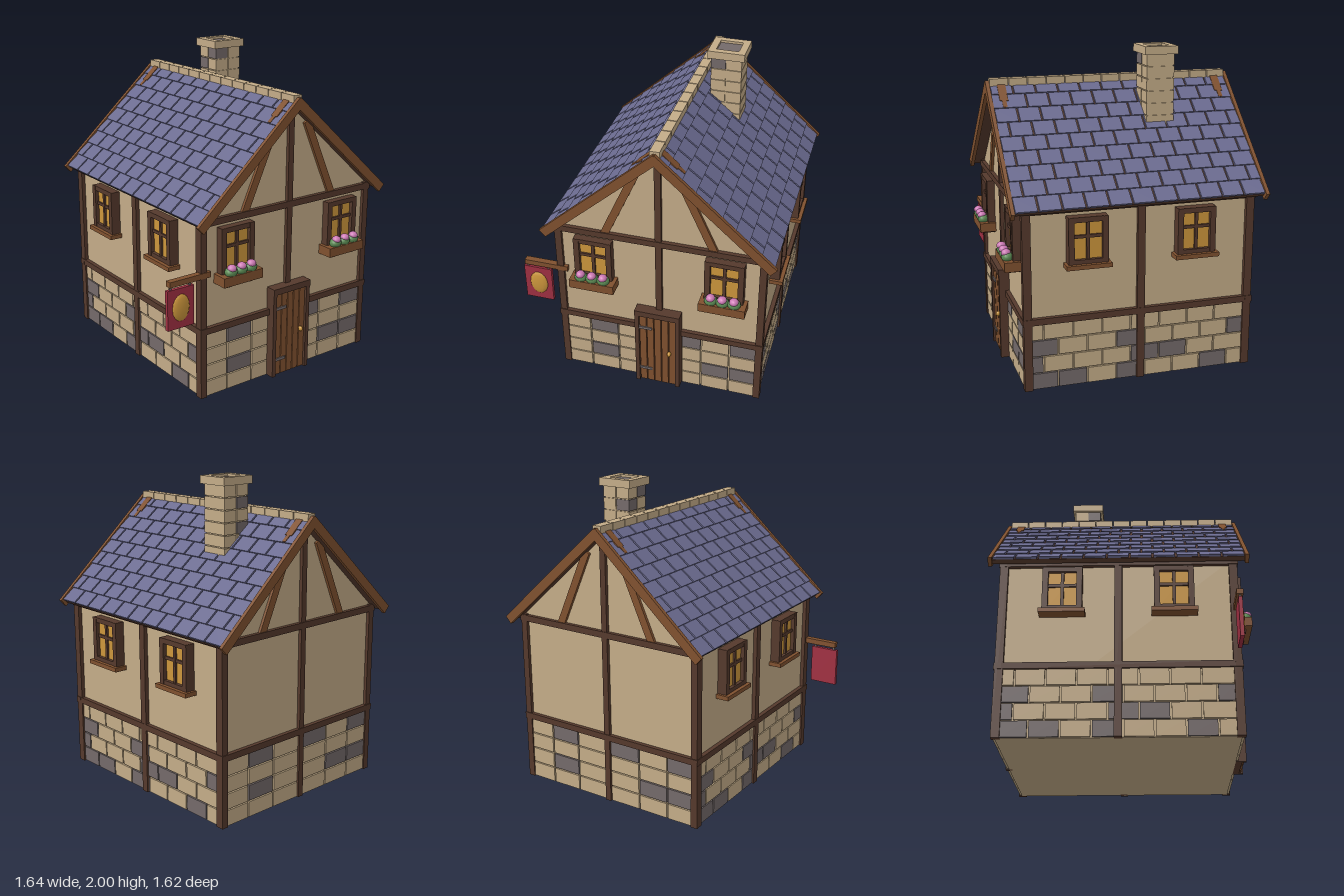
import * as THREE from 'three';

const paint = (name, color) => {
  const m = new THREE.MeshStandardMaterial({ color });
  m.name = name;
  return m;
};

export function createModel() {
  const timber = paint('dark timber', 0x55392c);
  const wood = paint('brown wood', 0x80512f);
  const plaster = paint('plaster and pale stone', 0xc4ac88);
  const slate = paint('slate blue', 0x6b6b90);
  const greyStone = paint('grey stone and iron', 0x746a6a);
  const gold = paint('gold', 0xcc963c);
  const red = paint('sign red', 0xa03042);
  const green = paint('leaf green', 0x5c8c54);
  const pink = paint('petal pink', 0xcc78b4);

  const root = new THREE.Group();
  root.name = 'cottage';
  const CX = 0.08, CZ = -0.01, HW = 0.645, HD = 0.71; // house centre, wall half sizes

  const group = (name, parent, x = 0, y = 0, z = 0, ry = 0) => {
    const g = new THREE.Group();
    g.name = name;
    g.position.set(x, y, z);
    g.rotation.y = ry;
    parent.add(g);
    return g;
  };
  const mesh = (name, geo, mat, parent, x = 0, y = 0, z = 0) => {
    const m = new THREE.Mesh(geo, mat);
    m.name = name;
    m.position.set(x, y, z);
    parent.add(m);
    return m;
  };
  // box given by its extents
  const box = (name, mat, parent, x0, x1, y0, y1, z0, z1) =>
    mesh(name, new THREE.BoxGeometry(x1 - x0, y1 - y0, z1 - z0), mat, parent,
      (x0 + x1) / 2, (y0 + y1) / 2, (z0 + z1) / 2);
  const ball = (name, mat, parent, x, y, z, rx, ry, rz) =>
    mesh(name, new THREE.SphereGeometry(1, 12, 8), mat, parent, x, y, z).scale.set(rx, ry, rz);

  // walls with gables
  const outline = new THREE.Shape([[-HW, 0], [HW, 0], [HW, 1.15], [0, 1.73], [-HW, 1.15]]
    .map(p => new THREE.Vector2(...p)));
  mesh('walls', new THREE.ExtrudeGeometry(outline, { depth: 2 * HD, bevelEnabled: false }),
    plaster, root, CX, 0, CZ - HD);

  // corner posts
  for (const sx of [-1, 1]) for (const sz of [-1, 1]) {
    const x = CX + sx * 0.648, z = CZ + sz * 0.705;
    box('cornerPost', timber, root, x - 0.022, x + 0.022, 0, 1.14, z - 0.026, z + 0.026);
  }

  // one group per wall: local x runs along it, local z points outward
  const front = group('frontWall', root, CX, 0, CZ + HD);
  const back = group('backWall', root, CX, 0, CZ - HD, Math.PI);
  const left = group('leftWall', root, CX + HW, 0, CZ, Math.PI / 2);
  const right = group('rightWall', root, CX - HW, 0, CZ, -Math.PI / 2);

  // stone courses: joints along the wall, indices of grey stones
  const course = (wall, row, joints, greys) => {
    for (let i = 0; i < joints.length - 1; i++) {
      box('stone', greys.includes(i) ? greyStone : plaster, wall,
        joints[i] + 0.005, joints[i + 1] - 0.005,
        row * 0.106 + 0.004, row * 0.106 + 0.102, -0.02, 0.014);
    }
  };
  const gableGreys = [[[], []], [[1], [1, 2]], [[], []], [[1], [0, 2]]];
  gableGreys.forEach(([a, b], row) => {
    course(front, row, [-0.63, -0.47, -0.28, -0.15], a);
    course(front, row, [0.145, 0.275, 0.46, 0.63], b);
    course(back, row, [-0.63, -0.45, -0.24, -0.02], a);
    course(back, row, [0.02, 0.24, 0.45, 0.63], b);
  });
  [[0, 1, 3, 6], [0, 4, 5], [0, 3, 7], []].forEach((greys, row) => {
    const joints = [-0.685];
    for (let u = row % 2 ? -0.61 : -0.52; u < 0.64; u += 0.183) joints.push(u);
    joints.push(0.685);
    course(left, row, joints, greys);
    course(right, row, joints, greys);
  });

  // timber framing
  for (const wall of [front, back]) {
    box('middleBeam', timber, wall, -0.674, 0.674, 0.42, 0.46, -0.02, 0.026);
    box('gableBeam', timber, wall, -0.674, 0.674, 1.1, 1.14, -0.02, 0.026);
    box('centrePost', timber, wall, -0.02, 0.02, wall === front ? 0.58 : 0, 1.73, -0.02, 0.022);
    for (const s of [-1, 1]) {
      const brace = box('gableBrace', wood, wall, -0.025, 0.025, -0.27, 0.27, -0.02, 0.018);
      brace.position.x = s * 0.235;
      brace.position.y = 1.375;
      brace.rotation.z = s * 0.42;
    }
  }
  for (const wall of [left, right]) {
    box('middleBeam', timber, wall, -0.735, 0.735, 0.42, 0.46, -0.02, 0.028);
    box('eaveBeam', timber, wall, -0.735, 0.735, 1.1, 1.145, -0.02, 0.028);
    box('centrePost', timber, wall, -0.024, 0.024, 0, 1.12, -0.02, 0.026);
  }

  // windows with sill or flower box
  const addWindow = (wall, u, depth, flowers) => {
    const w = group('window', wall, u, 0, 0);
    box('glass', gold, w, -0.1, 0.1, 0.8, 1.06, 0, depth - 0.025);
    for (const s of [-1, 1]) {
      box('frameSide', timber, w, s * 0.104 - 0.018, s * 0.104 + 0.018, 0.785, 1.075, 0, depth);
      box('frameRail', timber, w, -0.12, 0.12, 0.93 + s * 0.13 - 0.016, 0.93 + s * 0.13 + 0.016, 0, depth - 0.002);
    }
    box('mullion', timber, w, -0.01, 0.01, 0.8, 1.06, 0, depth - 0.012);
    box('crossbar', timber, w, -0.1, 0.1, 0.945, 0.965, 0, depth - 0.014);
    if (!flowers) {
      box('sill', wood, w, -0.14, 0.14, 0.763, 0.79, 0, depth + 0.022);
      return;
    }
    box('flowerBox', wood, w, -0.145, 0.145, 0.73, 0.79, 0, 0.105);
    for (const s of [-1, 1]) box('bracket', timber, w, s * 0.08 - 0.014, s * 0.08 + 0.014, 0.71, 0.73, 0, 0.07);
    for (const x of [-0.073, 0, 0.073]) {
      ball('leaves', green, w, x, 0.808, 0.075, 0.042, 0.034, 0.036);
      ball('blossom', pink, w, x, 0.832, 0.082, 0.029, 0.024, 0.03);
    }
  };
  for (const u of [-0.417, 0.417]) addWindow(front, u, 0.05, true);
  for (const wall of [left, right]) for (const u of [-0.34, 0.34]) addWindow(wall, u, 0.063, false);

  // door
  const door = group('door', front);
  for (const [a, b] of [[-0.15, -0.123], [0.118, 0.145]]) box('doorPost', timber, door, a, b, 0, 0.6, 0, 0.066);
  box('doorLintel', timber, door, -0.15, 0.145, 0.562, 0.602, 0, 0.07);
  box('doorBacking', timber, door, -0.125, 0.12, 0, 0.57, 0, 0.04);
  for (let i = 0; i < 5; i++) {
    const x = -0.123 + i * 0.0482;
    box('plank', wood, door, x + 0.003, x + 0.0452, 0.005, 0.562, 0.03, 0.053);
  }
  for (const y of [0.11, 0.46]) box('hinge', greyStone, door, -0.125, -0.04, y - 0.009, y + 0.009, 0.04, 0.06);
  ball('doorKnob', gold, door, 0.077, 0.28, 0.066, 0.013, 0.017, 0.016);

  // roof: each slope lies along local x from the ridge
  const ANGLE = Math.atan(0.9), run = 0.72 / Math.cos(ANGLE), HALF = 0.78;
  const rows = 9, step = run / rows, cols = 11, pitch = (2 * HALF) / cols;
  for (const s of [-1, 1]) {
    const slope = group('roofSlope', root, CX, 1.785, CZ);
    slope.rotation.z = -s * ANGLE;
    const span = (a, b) => (s > 0 ? [a, b] : [-b, -a]);
    box('roofDeck', timber, slope, ...span(0, run - 0.005), -0.04, -0.012, -HALF, HALF);
    for (let r = 0; r < rows; r++) {
      for (let c = 0; c <= cols; c++) {
        const z = -HALF + (c - (r % 2 ? 0.5 : 0)) * pitch;
        const z0 = Math.max(z + 0.006, -HALF), z1 = Math.min(z + pitch - 0.006, HALF);
        if (z1 - z0 < 0.02) continue;
        const tile = box('slateTile', slate, slope, ...span(r * step, (r + 1) * step), -0.013, 0.001, z0, z1);
        tile.rotation.z = s * 0.07;
      }
    }
    for (const sz of [-1, 1]) {
      const z = sz * (HALF + 0.01);
      box('bargeBoard', wood, slope, ...span(0, 0.985), -0.05, 0.008, z - 0.012, z + 0.012);
      // brace ends showing near the ridge
      box('braceEnd', wood, slope, ...span(0.03, 0.16), -0.01, 0.006, sz * 0.707 - 0.026, sz * 0.707 + 0.026);
      box('braceTip', wood, slope, ...span(0.16, 0.21), -0.01, 0.006, sz * 0.707 - 0.013, sz * 0.707 + 0.013);
    }
  }
  for (let i = 0; i < 13; i++) {
    const z = CZ - HALF + i * 0.12;
    box('ridgeStone', plaster, root, CX - 0.03, CX + 0.03, 1.755, 1.803, z + 0.003, z + 0.117);
  }

  // chimney
  const chimney = group('chimney', root, 0.267, 0, -0.255);
  box('chimneyCore', plaster, chimney, -0.09, 0.09, 1.4, 1.97, -0.083, 0.083);
  for (let r = 0; r < 6; r++) {
    const y1 = 1.95 - r * 0.076, y0 = y1 - 0.07;
    box('chimneyStone', plaster, chimney, 0.004, 0.098, y0, y1, -0.09, 0.09);
    box('chimneyStone', r === 0 ? greyStone : plaster, chimney, -0.098, -0.004, y0, y1, 0.003, 0.09);
    box('chimneyStone', r % 2 ? greyStone : plaster, chimney, -0.098, -0.004, y0, y1, -0.09, -0.003);
  }
  for (const s of [-1, 1]) {
    box('chimneyCapEnd', plaster, chimney, -0.118, 0.118, 1.95, 2, s * 0.086 - 0.021, s * 0.086 + 0.021);
    box('chimneyCapSide', plaster, chimney, s * 0.095 - 0.023, s * 0.095 + 0.023, 1.95, 2, -0.066, 0.066);
  }
  box('flue', greyStone, chimney, -0.073, 0.073, 1.95, 1.985, -0.066, 0.066);

  // hanging sign
  const sign = group('hangingSign', root, 0, 0, 0.705);
  box('signArm', wood, sign, -0.81, -0.52, 0.785, 0.82, -0.02, 0.02);
  for (const x of [-0.795, -0.66]) box('signHanger', greyStone, sign, x - 0.007, x + 0.007, 0.76, 0.787, -0.006, 0.006);
  box('signBoard', red, sign, -0.822, -0.637, 0.515, 0.765, -0.012, 0.012);
  ball('signEmblem', gold, sign, -0.729, 0.643, 0.012, 0.06, 0.085, 0.016);

  return root;
}
